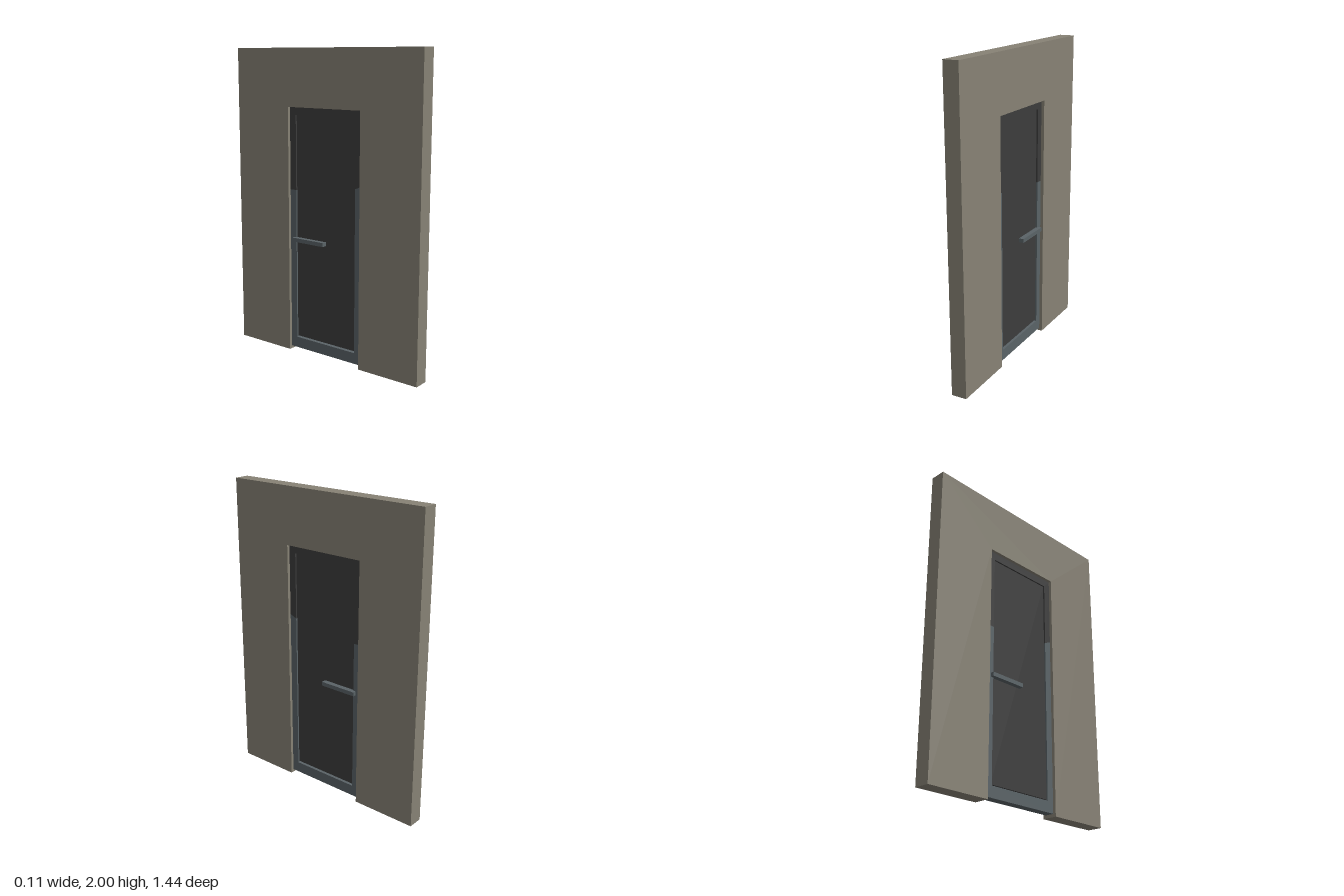
import * as THREE from 'three';

// Extrude an outline, given as [z, y] corners, symmetrically along x.
function slab(name, corners, thickness, material) {
  const shape = new THREE.Shape(corners.map(([z, y]) => new THREE.Vector2(-z, y)));
  const geometry = new THREE.ExtrudeGeometry(shape, { depth: thickness, bevelEnabled: false });
  geometry.translate(0, 0, -thickness / 2);
  geometry.rotateY(Math.PI / 2);
  const mesh = new THREE.Mesh(geometry, material);
  mesh.name = name;
  return mesh;
}

function box(name, size, position, material) {
  const mesh = new THREE.Mesh(new THREE.BoxGeometry(...size), material);
  mesh.name = name;
  mesh.position.set(...position);
  return mesh;
}

export function createModel() {
  const wallPaint = new THREE.MeshStandardMaterial({ color: 0x878275 });
  wallPaint.name = 'wall taupe';
  const darkPaint = new THREE.MeshStandardMaterial({ color: 0x3c3c3c });
  darkPaint.name = 'door charcoal';
  const steel = new THREE.MeshStandardMaterial({ color: 0x5a6367 });
  steel.name = 'steel grey';

  const model = new THREE.Group();
  model.name = 'doorInWall';

  const W = 0.72, O = 0.285, I = 0.237; // half widths: wall, opening, inside of frame
  const openTop = 1.63, innerTop = 1.58;
  const frameDepth = 0.06;

  // Wall with a doorway open at the floor
  model.add(slab('wall', [
    [W, 0], [W, 2], [-W, 2], [-W, 0], [-O, 0], [-O, openTop], [O, openTop], [O, 0],
  ], 0.1, wallPaint));

  // Frame: dark head and upper jambs, steel lower jambs and bottom rail
  model.add(slab('upperFrame', [
    [O, 1.17], [O, openTop], [-O, openTop], [-O, 1.095],
    [-I, 1.095], [-I, innerTop], [I, innerTop], [I, 1.15],
  ], frameDepth, darkPaint));
  model.add(slab('lowerFrame', [
    [O, 0.02], [O, 1.17], [I, 1.15], [I, 0.092],
    [-I, 0.092], [-I, 1.095], [-O, 1.095], [-O, 0.02],
  ], frameDepth, steel));

  // Door leaf, with a narrow gap above the bottom rail
  model.add(box('doorLeaf', [0.04, 1.48, I * 2], [0, 0.84, 0], darkPaint));

  // Pull bar standing out on both faces
  for (const side of [1, -1]) {
    model.add(box(side > 0 ? 'leftHandle' : 'rightHandle',
      [0.035, 0.026, 0.256], [side * 0.0355, 0.767, -0.128], steel));
  }

  return model;
}
